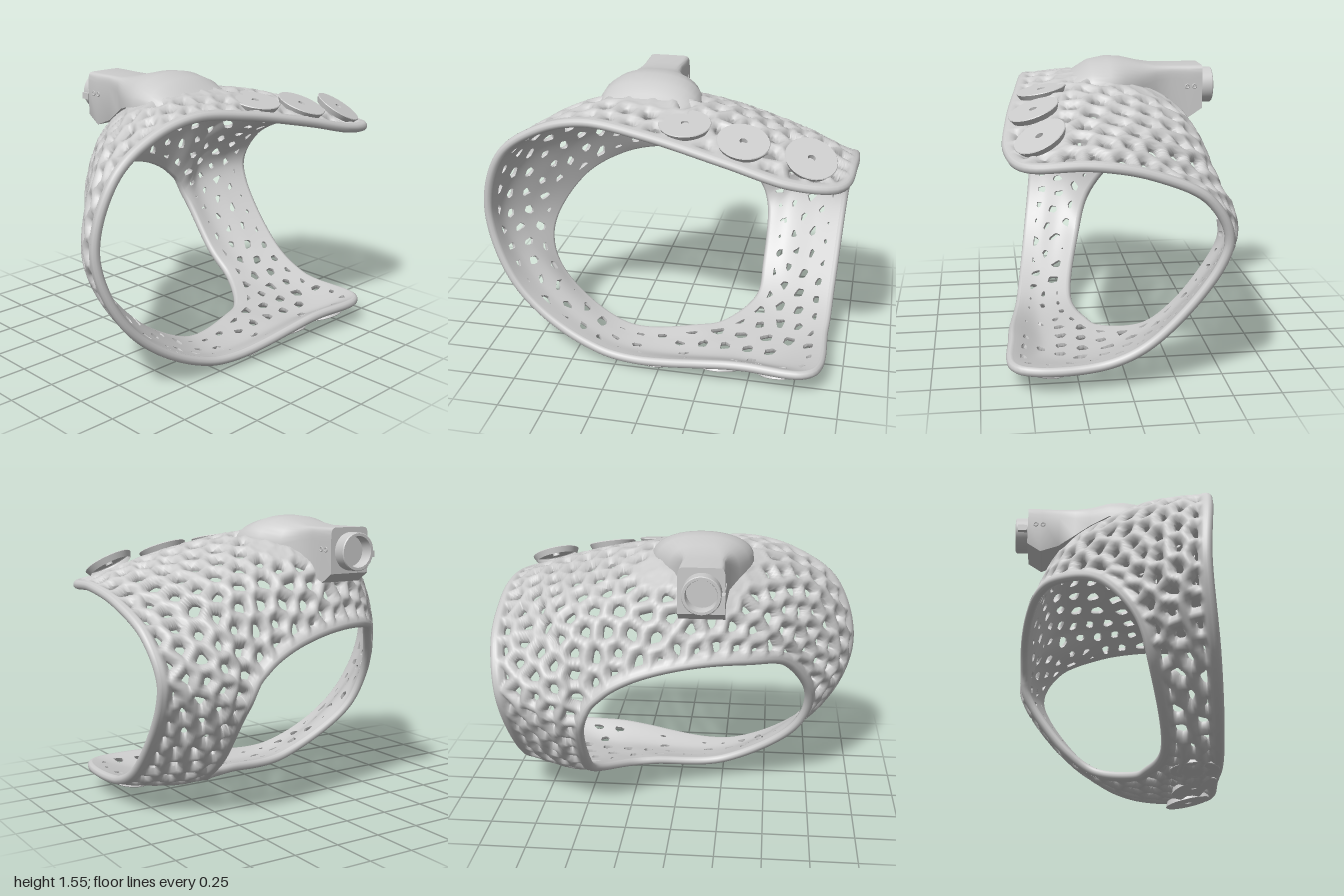
import * as THREE from 'three';
import { mergeVertices, toCreasedNormals } from 'three/addons/utils/BufferGeometryUtils.js';

const material = new THREE.MeshStandardMaterial({ color: 0xcccccc, side: THREE.DoubleSide });
const V = (x, y, z) => new THREE.Vector3(x, y, z);

// Four guide loops, from the outer open edge to the edge of the rear opening.
const outerEdge = [-.995,.8,.37, -.89,1.18,.4, -.66,1.35,.42, -.4,1.42,.45, -.05,1.385,.5, .35,1.305,.56,
  .7,1.22,.58, .92,1.195,.5, .975,1.205,.2, .97,1.15,-.1, .95,1.01,-.38, .92,.76,-.49,
  .89,.28,-.16, .88,.13,.12, .84,.115,.56, .45,.12,.58, -.3,.06,.5, -.81,.36,.42];
const outerMid = [-.96,.75,.27, -.83,1.14,.2, -.58,1.35,.12, -.32,1.445,.1, -.02,1.465,.12, .32,1.415,.14,
  .6,1.335,.22, .75,1.29,.12, .8,1.255,0, .82,1.135,-.22, .8,.97,-.45, .78,.75,-.54,
  .76,.27,-.21, .75,.11,.08, .62,.05,.4, .38,.04,.42, -.3,.05,.4, -.78,.37,.32];
const innerMid = [-.87,.68,.15, -.73,1.01,.02, -.5,1.2,-.18, -.26,1.28,-.3, 0,1.3,-.36, .25,1.26,-.38,
  .42,1.22,-.38, .55,1.16,-.39, .6,1.1,-.43, .6,1.01,-.48, .6,.86,-.565, .6,.68,-.575,
  .6,.28,-.29, .6,.12,-.03, .45,.06,.2, .28,.05,.26, -.28,.06,.3, -.73,.39,.22];
const innerEdge = [-.755,.6,.04, -.62,.87,-.15, -.41,.965,-.38, -.2,.985,-.48, 0,.965,-.53, .19,.915,-.56,
  .32,.85,-.57, .38,.8,-.57, .42,.76,-.57, .45,.71,-.57, .47,.65,-.56, .485,.57,-.52,
  .49,.3,-.32, .48,.16,-.14, .3,.08,.1, .16,.07,.16, -.25,.07,.22, -.68,.35,.13];

// Round pads: centre and facing direction.
const pads = [
  [V(.12, 1.417, .38), V(.02, 1, .2)], [V(.43, 1.366, .44), V(.15, 1, .35)], [V(.77, 1.3, .43), V(.3, 1, .5)],
  [V(-.02, .03, .4), V(0, -1, .04)], [V(.33, .04, .44), V(0, -1, .3)], [V(.67, .048, .44), V(.08, -1, .22)],
];

function loopCurve(a) {
  const pts = [];
  for (let i = 0; i < a.length; i += 3) pts.push(V(a[i], a[i + 1], a[i + 2]));
  return new THREE.CatmullRomCurve3(pts, true);
}

// Smooth grid of surface points with outward normals and area weights.
const NU = 320, NV = 64;
function surfaceGrid() {
  const loops = [outerEdge, outerMid, innerMid, innerEdge].map(loopCurve);
  const grid = [];
  for (let u = 0; u < NU; u++) {
    const across = new THREE.CatmullRomCurve3(loops.map(l => l.getPoint(u / NU)));
    const col = [];
    for (let v = 0, len = 0; v <= NV; v++) {
      const p = across.getPoint(v / NV);
      if (v) len += p.distanceTo(col[v - 1].p);
      col.push({ p, len });
    }
    for (const g of col) g.rim = Math.min(g.len, col[NV].len - g.len);
    grid.push(col);
  }
  for (let u = 0; u < NU; u++) for (let v = 0; v <= NV; v++) {
    const du = grid[(u + 1) % NU][v].p.clone().sub(grid[(u + NU - 1) % NU][v].p);
    const dv = grid[u][Math.min(v + 1, NV)].p.clone().sub(grid[u][Math.max(v - 1, 0)].p);
    const n = du.cross(dv);
    grid[u][v].area = n.length() / 4;
    grid[u][v].n = n.normalize();
  }
  return grid;
}

// Evenly spread cell centres: farthest-point picking, then relaxation.
function cellCentres(verts) {
  const count = Math.round(verts.reduce((s, g) => s + g.area, 0) / .0148);
  const far = new Float64Array(verts.length).fill(1e9);
  const seeds = [];
  for (let k = 0, pick = 0; k < count; k++) {
    const s = verts[pick].p.clone();
    seeds.push(s);
    let best = -1;
    verts.forEach((g, i) => {
      far[i] = Math.min(far[i], g.p.distanceToSquared(s));
      if (far[i] > best) { best = far[i]; pick = i; }
    });
  }
  for (let it = 0; it < 12; it++) {
    const sum = seeds.map(() => V(0, 0, 0)), w = seeds.map(() => 0);
    for (const g of verts) {
      const k = nearest(g.p, seeds);
      sum[k].addScaledVector(g.p, g.area);
      w[k] += g.area;
    }
    seeds.forEach((s, k) => { if (w[k]) s.copy(sum[k]).divideScalar(w[k]); });
  }
  return seeds;
}
function nearest(p, seeds) {
  let k = 0, best = 1e9;
  for (let i = 0; i < seeds.length; i++) {
    const d = p.distanceToSquared(seeds[i]);
    if (d < best) { best = d; k = i; }
  }
  return k;
}

// Perforated shell: puffy webbing outside, smooth lining inside, a hole in every open cell.
function latticeShell(grid) {
  const verts = grid.flat(), seeds = cellCentres(verts), hole = .037;
  // Cells below the pads and the mount stay closed
  const closed = new Set(seeds.filter(s => pads.some(([c]) => c.distanceTo(s) < .11)
    || (s.y > 1.15 && Math.hypot(s.x + .13, s.z + .06) < .31)));
  for (const g of verts) {
    const s = seeds[nearest(g.p, seeds)], d1 = g.p.distanceToSquared(s);
    let e = Math.min(g.rim - .015, closed.has(s) ? hole * .5 : 1);
    for (const q of seeds) if (q !== s) {
      const gap = q.distanceTo(s);
      if (gap < .5) e = Math.min(e, (g.p.distanceToSquared(q) - d1) / (2 * gap));
    }
    g.e = Math.max(e, 0);
    const r = Math.min(g.e / hole, 1.4);
    g.o = g.p.clone().addScaledVector(g.n, .008 - .032 * r * r);
    g.i = g.p.clone().addScaledVector(g.n, -.042);
  }
  const outer = [], inner = [];
  const tri = (list, a, b, c) => list.push(...a.toArray(), ...b.toArray(), ...c.toArray());
  const clip = (...t) => {
    const poly = [], cuts = [];
    t.forEach((a, k) => {
      const b = t[(k + 1) % 3];
      if (a.e <= hole) poly.push(a);
      if ((a.e <= hole) === (b.e <= hole)) return;
      const f = (hole - a.e) / (b.e - a.e);
      const m = { o: a.o.clone().lerp(b.o, f), i: a.i.clone().lerp(b.i, f) };
      poly.push(m);
      cuts[a.e <= hole ? 0 : 1] = m;
    });
    for (let k = 1; k + 1 < poly.length; k++) {
      tri(outer, poly[0].o, poly[k].o, poly[k + 1].o);
      tri(inner, poly[0].i, poly[k + 1].i, poly[k].i);
    }
    if (cuts.length) {
      const [p, q] = cuts;
      tri(outer, q.o, p.o, p.i);
      tri(outer, q.o, p.i, q.i);
    }
  };
  for (let u = 0; u < NU; u++) for (let v = 0; v < NV; v++) {
    const a = grid[u], b = grid[(u + 1) % NU];
    clip(a[v], b[v], b[v + 1]);
    clip(a[v], b[v + 1], a[v + 1]);
  }
  return [outer, inner].map(list => {
    const g = new THREE.BufferGeometry();
    g.setAttribute('position', new THREE.Float32BufferAttribute(list, 3));
    const m = mergeVertices(g, 1e-5);
    m.computeVertexNormals();
    return m;
  });
}

// Rounded bead along one edge of the shell.
function rimBead(grid, v) {
  const pts = grid.filter((_, u) => u % 4 === 0).map(c => c[v].p.clone().addScaledVector(c[v].n, -.017));
  return new THREE.TubeGeometry(new THREE.CatmullRomCurve3(pts, true), 260, .025, 10, true);
}

// Domed base that narrows into a square socket; rows: z, centre x, half width, bottom y, top y, squareness.
function socketMount() {
  const rows = [[.25,-.13,0,1.43,1.43,2], [.23,-.13,.19,1.42,1.44,2], [.17,-.13,.25,1.41,1.485,2],
    [.1,-.13,.275,1.4,1.53,2.1], [0,-.13,.28,1.39,1.55,2.2], [-.08,-.135,.255,1.38,1.545,2.4],
    [-.18,-.15,.19,1.35,1.52,3], [-.27,-.16,.13,1.31,1.502,7], [-.36,-.16,.115,1.25,1.5,12],
    [-.46,-.16,.12,1.21,1.5,12], [-.535,-.16,.12,1.26,1.5,12], [-.535,-.16,0,1.37,1.37,2]];
  const N = 40, pos = [], idx = [];
  rows.forEach(([z, xc, w, yb, yt, p], j) => {
    for (let i = 0; i < N; i++) {
      const a = i / N * Math.PI * 2, c = Math.cos(a), s = Math.max(Math.sin(a), 0);
      pos.push(xc + w * Math.sign(c) * Math.abs(c) ** (2 / p), yb + (yt - yb) * s ** (2 / p), z);
      if (!j) continue;
      const k = (i + 1) % N, r = j * N, q = r - N;
      idx.push(q + i, r + i, q + k, q + k, r + i, r + k);
    }
  });
  const g = new THREE.BufferGeometry();
  g.setAttribute('position', new THREE.Float32BufferAttribute(pos, 3));
  g.setIndex(idx);
  return toCreasedNormals(g, .7);
}

const lathe = (pts, n = 40) =>
  toCreasedNormals(new THREE.LatheGeometry(pts.map(p => new THREE.Vector2(...p)), n), .6);

export function createModel() {
  const model = new THREE.Group();
  const add = (name, geometry) => {
    const mesh = new THREE.Mesh(geometry, material);
    mesh.name = name;
    model.add(mesh);
    return mesh;
  };
  const grid = surfaceGrid();
  const [outer, inner] = latticeShell(grid);
  add('latticeShell', outer);
  add('shellLining', inner);
  add('outerRim', rimBead(grid, 0));
  add('openingRim', rimBead(grid, NV));

  // Pads with a small centre hole
  const padShape = lathe([[0, -.025], [.02, -.025], [.02, 0], [.132, 0], [.135, -.004], [.12, -.035]]);
  for (const [c, n] of pads) {
    const pad = add('roundPad', padShape);
    pad.position.copy(c);
    pad.quaternion.setFromUnitVectors(V(0, 1, 0), n.clone().normalize());
  }

  // Rear socket with a hollow tube, key tab and pin holes
  add('socketMount', socketMount());
  const tube = add('socketTube', lathe([[.1, 0], [.1, .07], [.096, .075], [.082, .075], [.08, .07], [.08, .005], [0, .005]]));
  tube.rotation.x = -Math.PI / 2;
  tube.position.set(-.165, 1.375, -.53);
  const tab = add('keyTab', new THREE.BoxGeometry(.03, .035, .05));
  tab.position.set(-.268, 1.36, -.565);
  for (const x of [-.28, -.04]) for (const z of [-.45, -.49]) {
    const pin = add('pinHole', new THREE.TorusGeometry(.011, .004, 6, 16));
    pin.rotation.y = Math.PI / 2;
    pin.position.set(x, 1.385, z);
  }
  return model;
}
